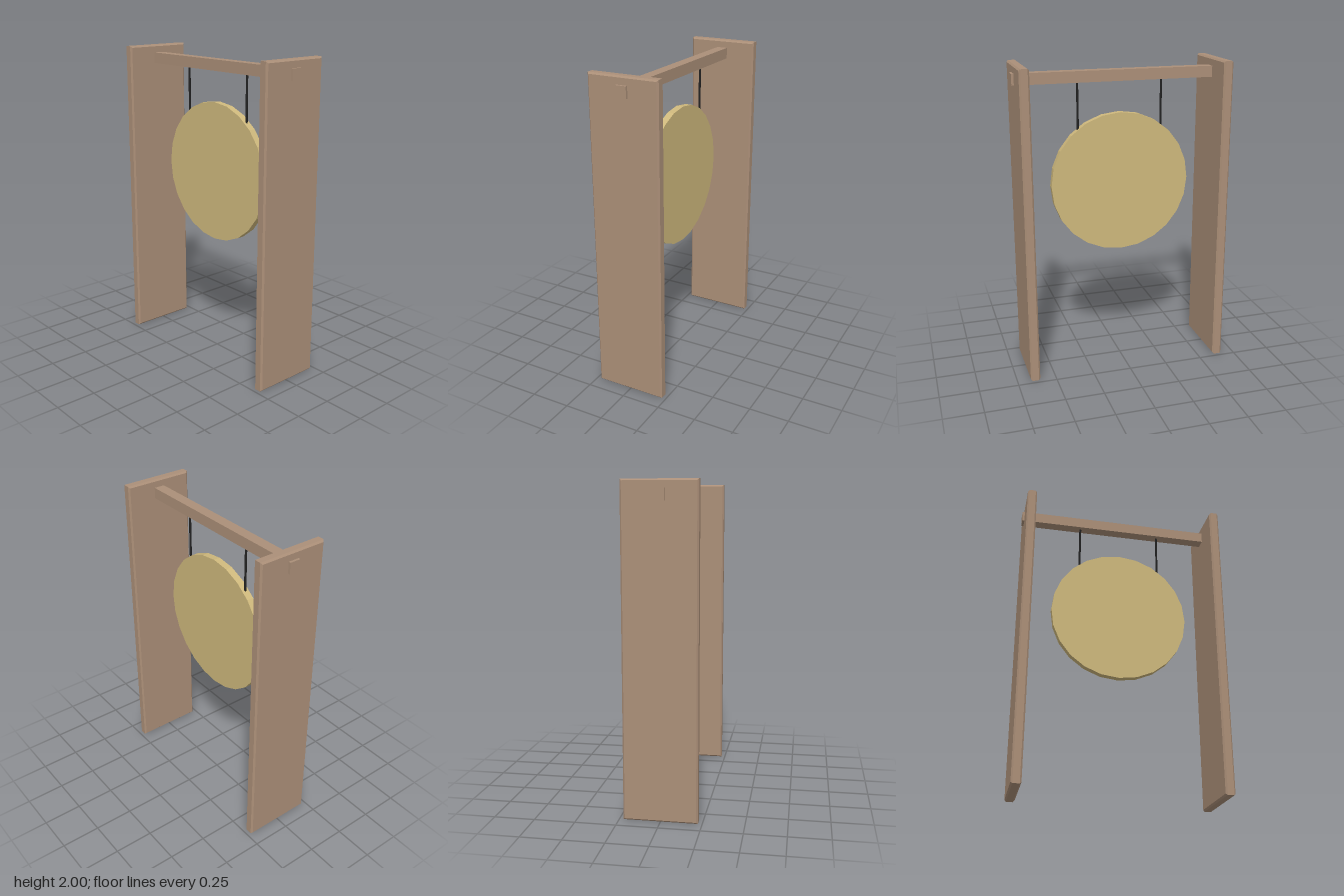
import * as THREE from 'three';

const wood = new THREE.MeshStandardMaterial({ color: 0xab8f78, flatShading: true });
const brass = new THREE.MeshStandardMaterial({ color: 0xceb87c, flatShading: true });
const cord = new THREE.MeshStandardMaterial({ color: 0x222222 });

// Upright board lying in the yz plane, its long edges chamfered
function boardGeometry(height, depth, thickness, bevel) {
  const w = depth / 2 - bevel;
  const h = height / 2 - bevel;
  const shape = new THREE.Shape([
    new THREE.Vector2(-w, -h), new THREE.Vector2(w, -h),
    new THREE.Vector2(w, h), new THREE.Vector2(-w, h),
  ]);
  const geometry = new THREE.ExtrudeGeometry(shape, {
    depth: thickness - 2 * bevel,
    bevelEnabled: true, bevelThickness: bevel, bevelSize: bevel, bevelSegments: 1,
  });
  return geometry.center().rotateY(Math.PI / 2);
}

export function createModel() {
  const model = new THREE.Group();
  model.name = 'hangingGong';

  function add(name, geometry, material, x, y, z = 0) {
    const mesh = new THREE.Mesh(geometry, material);
    mesh.name = name;
    mesh.position.set(x, y, z);
    model.add(mesh);
  }

  // Side boards and hanging cords, mirrored left and right
  const board = boardGeometry(2, 0.45, 0.062, 0.01);
  const rope = new THREE.CylinderGeometry(0.007, 0.007, 0.31, 8);
  for (const [side, s] of [['left', 1], ['right', -1]]) {
    add(side + 'Board', board, wood, s * 0.634, 1);
    add(side + 'Cord', rope, cord, s * 0.272, 1.735);
  }

  // Crossbar, its ends poking through the boards
  add('crossbar', new THREE.BoxGeometry(1.36, 0.07, 0.07), wood, 0, 1.915);

  // Gong disc facing front
  const disc = new THREE.CylinderGeometry(0.453, 0.453, 0.045, 24).rotateX(Math.PI / 2);
  add('gongDisc', disc, brass, 0, 1.23);

  return model;
}
